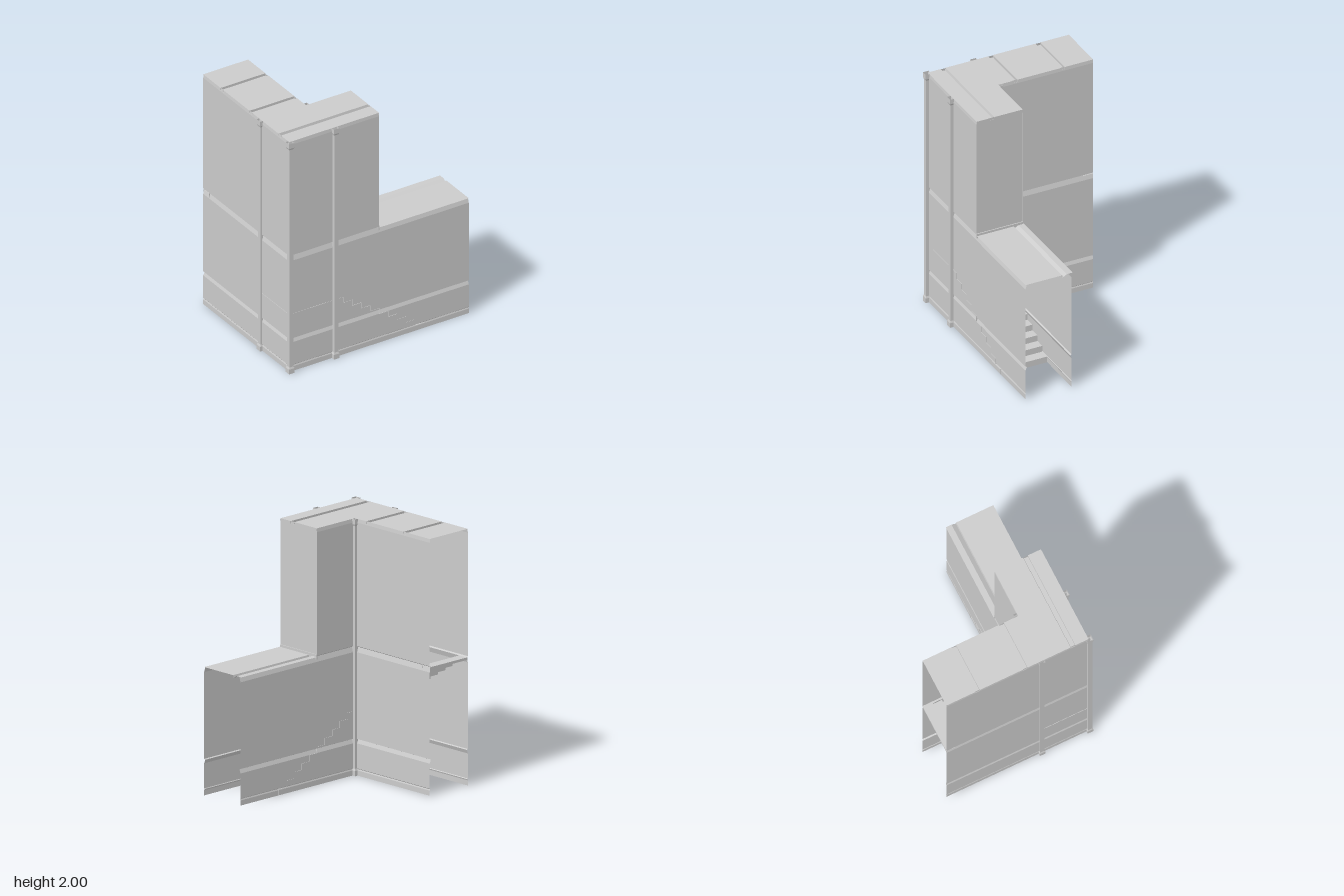
import * as THREE from 'three';

const material = new THREE.MeshStandardMaterial({ color: 0xcccccc, flatShading: true, side: THREE.DoubleSide });

// Thin sheet: an open cross-section swept in a straight line by the vector d.
function sheet(name, points, d) {
  const pos = [];
  for (let i = 0; i < points.length - 1; i++) {
    const a = points[i], b = points[i + 1];
    const a2 = a.map((v, k) => v + d[k]), b2 = b.map((v, k) => v + d[k]);
    pos.push(...a, ...a2, ...b2, ...a, ...b2, ...b);
  }
  const g = new THREE.BufferGeometry();
  g.setAttribute('position', new THREE.Float32BufferAttribute(pos, 3));
  g.computeVertexNormals();
  const mesh = new THREE.Mesh(g, material);
  mesh.name = name;
  return mesh;
}

// Wall sections as [inset, height]: skirting, sloped ledges and main panels.
const LOWER = [[0, 0], [0, 0.04], [0.004, 0.05], [0, 0.055], [0, 0.25], [0.012, 0.28], [0, 0.285], [0, 0.96], [0.012, 1]];
const UPPER = [[0.012, 1], [0, 1.008], [0, 1.97], [0.004, 2]];

// Walls facing along z (outward sign s) or along x.
const wallX = (name, z, s, x0, x1, prof) =>
  sheet(name, prof.map(([o, y]) => [x0, y, z - s * o]), [x1 - x0, 0, 0]);
const wallZ = (name, x, s, z0, z1, prof) =>
  sheet(name, prof.map(([o, y]) => [x - s * o, y, z0]), [0, 0, z1 - z0]);

// Roof section is given as [z, y], with recessed channels.
const roof = (name, prof, x0, x1) => sheet(name, prof.map(([z, y]) => [x0, y, z]), [x1 - x0, 0, 0]);

// Ten steps as [distance, height] pairs.
function steps(y0) {
  const p = [[0, y0]];
  for (let i = 0; i < 10; i++) p.push([i * 0.08, y0 + (i + 1) * 0.05], [(i + 1) * 0.08, y0 + (i + 1) * 0.05]);
  return p;
}

export function createModel() {
  const group = new THREE.Group();
  group.name = 'stairTower';

  // Walls of the long passage (along x) and the rear wing (along z)
  group.add(
    wallX('frontWallLower', 0.58, 1, -0.79, 0.81, LOWER),
    wallX('frontWallUpper', 0.58, 1, -0.79, 0.01, UPPER),
    wallX('backWallLower', 0.19, -1, -0.39, 0.81, LOWER),
    wallX('backWallUpper', 0.19, -1, -0.39, 0.01, UPPER),
    wallZ('outerWingWallLower', -0.79, -1, -0.61, 0.58, LOWER),
    wallZ('outerWingWallUpper', -0.79, -1, -0.61, 0.58, UPPER),
    wallZ('innerWingWallLower', -0.39, 1, -0.61, 0.19, LOWER),
    wallZ('innerWingWallUpper', -0.39, 1, -0.61, 0.19, UPPER),
    wallZ('upperEndWall', 0.008, 1, 0.19, 0.58, [[0, 1], [0, 2]])
  );

  // Sill where the low roof meets the upper end wall
  const sill = new THREE.Mesh(new THREE.BoxGeometry(0.012, 0.04, 0.39), material);
  sill.position.set(0.01, 0.998, 0.385);
  sill.name = 'endWallSill';
  group.add(sill);

  // Roofs
  const d = 0.02;
  group.add(
    roof('lowRoof', [[0.182, 1], [0.23, 1], [0.265, 1 - d], [0.27, 1], [0.58, 1]], 0.01, 0.81),
    roof('frontRoof', [[0.19, 2], [0.43, 2], [0.435, 2 - d], [0.47, 2 - d], [0.47, 2], [0.58, 2]], -0.79, 0.01),
    roof('wingRoof', [[-0.61, 2], [-0.37, 2], [-0.37, 2 - d], [-0.33, 2 - d], [-0.33, 2],
      [0.03, 2], [0.03, 2 - d], [0.07, 2 - d], [0.07, 2], [0.19, 2]], -0.79, -0.39)
  );

  // Two flights of stairs with a corner landing
  const w = 0.396;
  group.add(
    sheet('lowerStairs', steps(0).map(([t, y]) => [0.41 - t, y, 0.187]), [0, 0, w]),
    sheet('cornerLanding', [[-0.793, 0.5, 0.187], [-0.39, 0.5, 0.187]], [0, 0, w]),
    sheet('upperStairs', [...steps(0.5), [0.8, 0.98]].map(([t, y]) => [-0.788, y, 0.19 - t]), [w, 0, 0])
  );

  // Hollow square posts with a flared foot and cap
  const postProfile = [[0.024, 0], [0.024, 0.04], [0.018, 0.055], [0.018, 1.945], [0.024, 1.96], [0.024, 2]]
    .map(([r, y]) => new THREE.Vector2(r * Math.SQRT2, y));
  const postGeometry = new THREE.LatheGeometry(postProfile, 4, Math.PI / 4);
  for (const x of [-0.787, -0.387]) for (const z of [0.186, 0.586]) {
    const post = new THREE.Mesh(postGeometry, material);
    post.position.set(x, 0, z);
    post.name = 'post';
    group.add(post);
  }
  return group;
}
